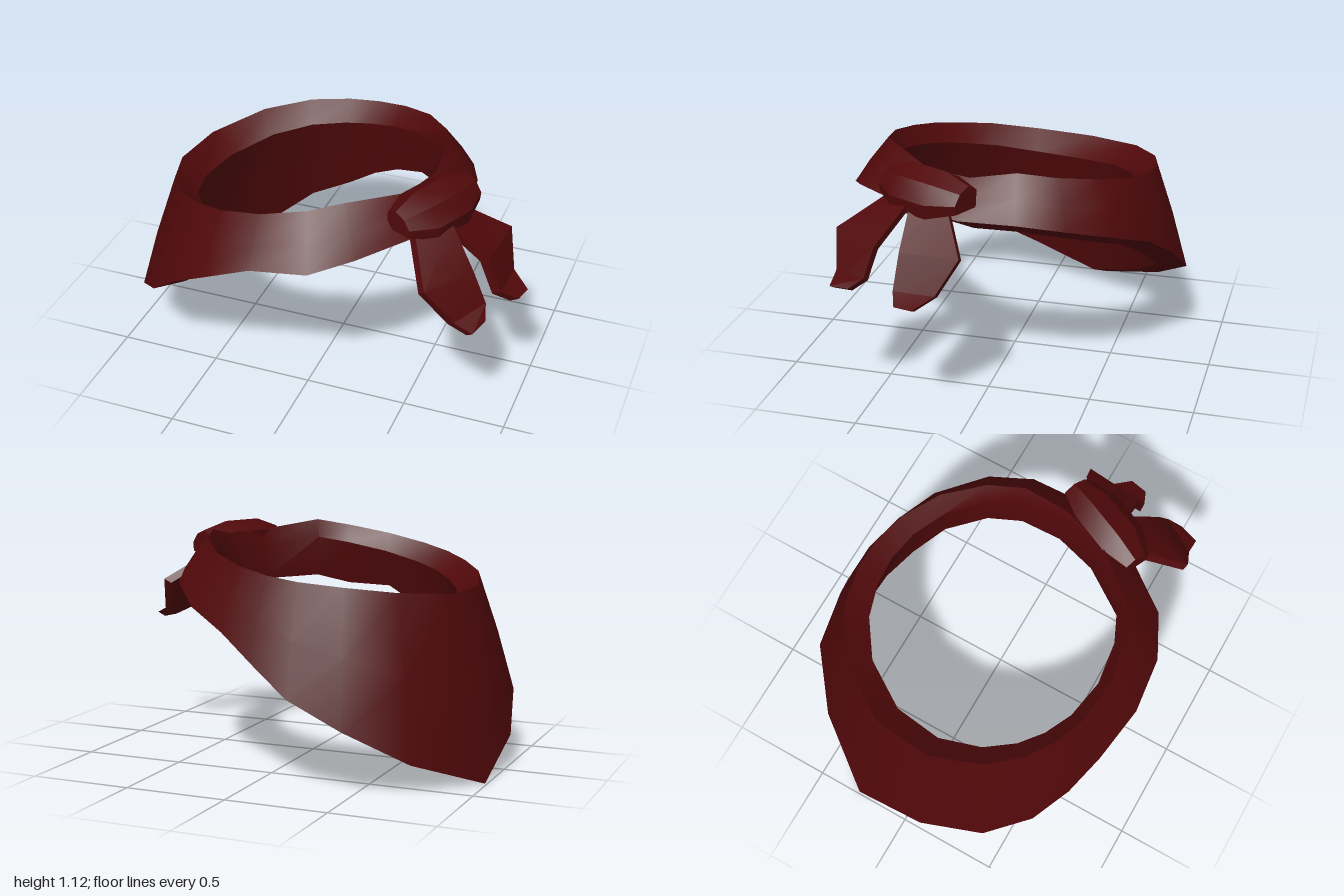
import * as THREE from 'three';
import { toCreasedNormals } from 'three/addons/utils/BufferGeometryUtils.js';

const cloth = new THREE.MeshStandardMaterial({ color: 0x50080a });
cloth.name = 'darkRedCloth';

// Skin a row of equal-length point loops; closed = ring, otherwise both ends are capped.
function loft(name, loops, closed, crease) {
  const n = loops[0].length, pos = [];
  const tri = (a, b, c) => pos.push([a, b, c]);
  const rows = closed ? loops.length : loops.length - 1;
  for (let i = 0; i < rows; i++) {
    const p = loops[i], q = loops[(i + 1) % loops.length];
    for (let j = 0; j < n; j++) {
      const k = (j + 1) % n;
      tri(p[j], q[j], q[k]);
      tri(p[j], q[k], p[k]);
    }
  }
  if (!closed) {
    const end = loops[loops.length - 1];
    for (let j = 1; j < n - 1; j++) {
      tri(loops[0][0], loops[0][j], loops[0][j + 1]);
      tri(end[0], end[j + 1], end[j]);
    }
  }
  // Turn the faces outward when the enclosed volume is negative
  let volume = 0;
  for (const [a, b, c] of pos) volume += a.dot(b.clone().cross(c));
  const flat = pos.flatMap(([a, b, c]) => (volume < 0 ? [a, c, b] : [a, b, c]))
    .flatMap((v) => [v.x, v.y, v.z]);
  const geo = new THREE.BufferGeometry();
  geo.setAttribute('position', new THREE.Float32BufferAttribute(flat, 3));
  const mesh = new THREE.Mesh(toCreasedNormals(geo, crease), cloth);
  mesh.name = name;
  return mesh;
}

const V = (x, y, z) => new THREE.Vector3(x, y, z);

// Neck band and draped triangle: hem point and rim height at each station round the wearer
function createDrape() {
  const stations = [
    [0.64, 0.91, 0.1, 1.07], [0.55, 0.92, 0.37, 1.07], [0.31, 0.91, 0.69, 1.11],
    [0.12, 0.85, 0.79, 1.08], [-0.15, 0.83, 0.82, 1.04], [-0.4, 0.7, 0.77, 1],
    [-0.59, 0.59, 0.71, 0.97], [-0.76, 0.44, 0.61, 0.94], [-0.92, 0.31, 0.42, 0.91],
    [-1, 0.15, 0.1, 0.875], [-0.99, 0, -0.28, 0.87], [-0.74, 0.14, -0.61, 0.9],
    [-0.48, 0.31, -0.8, 0.93], [-0.22, 0.44, -0.82, 0.95], [-0.03, 0.58, -0.78, 0.97],
    [0.16, 0.7, -0.7, 1], [0.37, 0.79, -0.59, 1.04], [0.55, 0.87, -0.38, 1.08],
    [0.63, 0.91, -0.17, 1.11],
  ];
  const cx = -0.17;
  const loops = stations.map(([x, y, z, rimY]) => {
    const a = Math.atan2(z, x - cx), c = Math.cos(a), s = Math.sin(a);
    const ring = (r, h) => V(cx + r * c, h, r * s);
    const right = Math.max(0, c);
    const rim = ring(0.668, rimY);
    const bottom = V(x, y, z);
    const middle = rim.clone().lerp(bottom, 0.5).add(V(0.008 * c, 0, 0.008 * s));
    const k = 0.82 - 0.05 * right;
    const innerHem = V(cx + (x - cx) * k, 0.07 + 0.83 * y - 0.02 * right, z * k);
    const neck = ring(0.59 + 0.045 * c + 0.02 * s, rimY - 0.09);
    return [rim, middle, bottom, innerHem, neck];
  });
  return loft('neckerchief', loops, true, 0.6);
}

// Faceted knot, lofted along its slanted axis: position, size and lift of each section
function createKnot() {
  const profile = [[-0.09, -0.07], [-0.1, 0.07], [-0.01, 0.12], [0.09, 0.08], [0.15, 0], [0.14, -0.07]];
  const loops = [[-0.25, 0.55, 0.01], [-0.12, 1, 0], [0.09, 1, 0], [0.23, 0.6, 0.01]].map(([t, k, h]) =>
    profile.map(([u, v]) => V(
      0.54 + 0.42 * t + 0.9 * u * k, 1 + h + v * k, 0.26 - 0.91 * t + 0.42 * u * k)));
  return loft('knot', loops, false, 0.45);
}

// Tail: pairs of edge points down its length, thickened by one offset
function createTail(name, edges, offset) {
  const loops = edges.map(([a, b]) => {
    const p = V(...a), q = V(...b);
    return [p, q, q.clone().add(offset), p.clone().add(offset)];
  });
  return loft(name, loops, false, 0.35);
}

export function createModel() {
  const group = new THREE.Group();
  group.name = 'knottedNeckerchief';
  group.add(createDrape(), createKnot());
  group.add(createTail('backTail', [
    [[0.62, 0.98, 0.16], [0.62, 0.98, 0.33]],
    [[0.86, 0.82, 0.03], [0.83, 0.81, 0.32]],
    [[0.91, 0.65, 0.13], [0.9, 0.65, 0.33]],
    [[1, 0.61, 0.21], [0.98, 0.61, 0.3]],
  ], V(-0.04, -0.02, 0)));
  group.add(createTail('frontTail', [
    [[0.66, 0.97, 0.34], [0.52, 0.97, 0.47]],
    [[0.8, 0.81, 0.45], [0.64, 0.82, 0.69]],
    [[0.87, 0.68, 0.48], [0.77, 0.66, 0.65]],
    [[0.89, 0.63, 0.55], [0.86, 0.62, 0.65]],
  ], V(-0.03, -0.02, -0.01)));
  return group;
}
